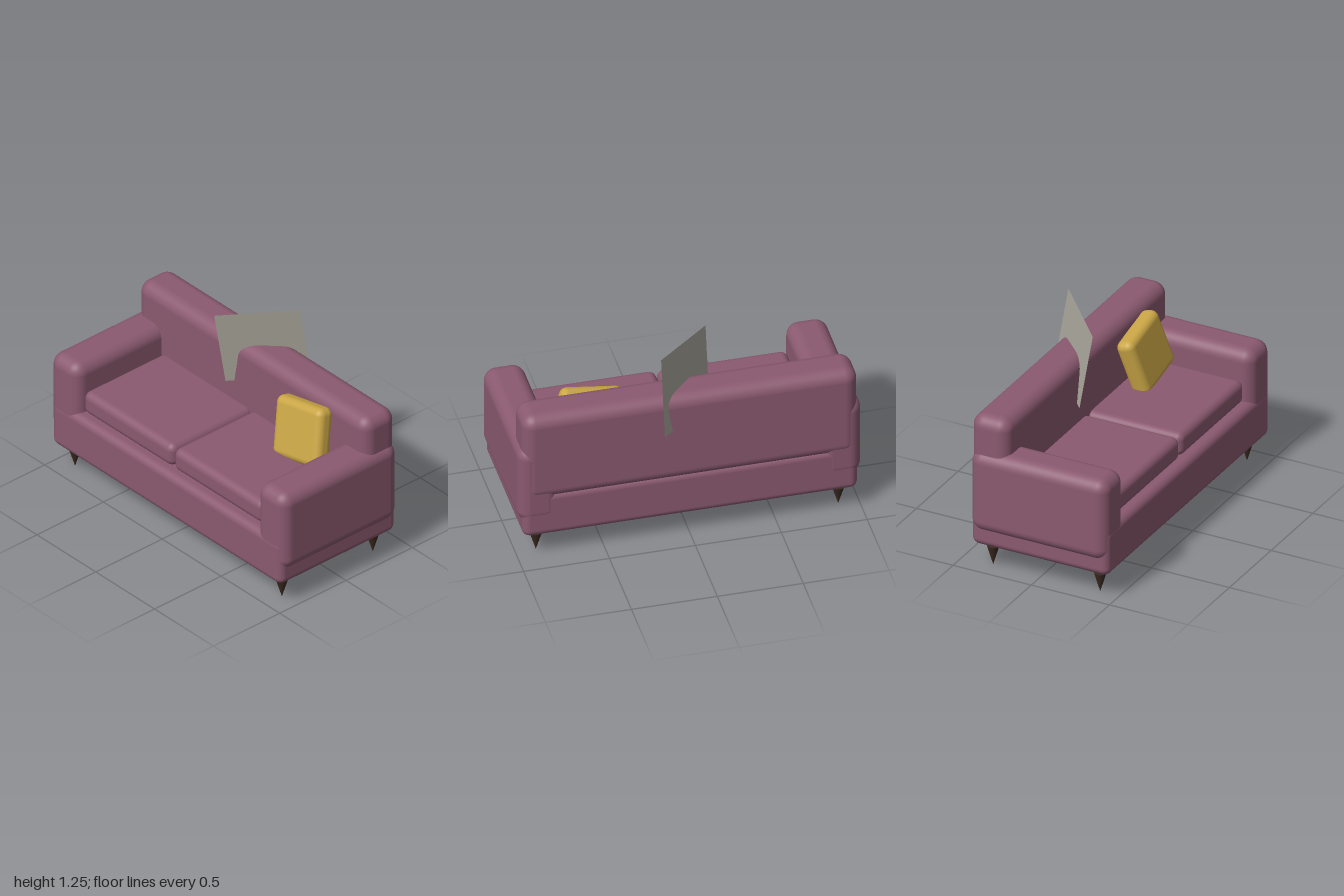
import * as THREE from 'three';
import { RoundedBoxGeometry } from 'three/addons/geometries/RoundedBoxGeometry.js';

function material(name, color, side = THREE.FrontSide) {
  const m = new THREE.MeshStandardMaterial({ color, side });
  m.name = name;
  return m;
}

export function createModel() {
  const sofa = new THREE.Group();
  sofa.name = 'sofa';
  const fabric = material('mauve fabric', 0x8b5a70);
  const mustard = material('mustard fabric', 0xc9a545);
  const wood = material('dark wood', 0x3b2a20);
  const cloth = material('grey cloth', 0xaaa69c, THREE.DoubleSide);

  function add(name, geometry, mat, x, y, z) {
    const mesh = new THREE.Mesh(geometry, mat);
    mesh.name = name;
    mesh.position.set(x, y, z);
    sofa.add(mesh);
    return mesh;
  }

  // Soft-edged block given by its [min, max] range on each axis
  function block(name, [x0, x1], [y0, y1], [z0, z1], radius) {
    const geometry = new RoundedBoxGeometry(x1 - x0, y1 - y0, z1 - z0, 5, radius);
    return add(name, geometry, fabric, (x0 + x1) / 2, (y0 + y1) / 2, (z0 + z1) / 2);
  }

  // Frame and backrest
  block('base', [-0.975, 0.975], [0.15, 0.44], [-0.403, 0.475], 0.045);
  block('backrest', [-0.975, 0.975], [0.4, 0.976], [-0.41, -0.167], 0.075);

  // Arms and seat cushions, one on each side
  for (const [side, s] of [['left', 1], ['right', -1]]) {
    const span = (a, b) => (s > 0 ? [a, b] : [-b, -a]);
    block(side + 'Arm', span(0.76, 1), [0.245, 0.757], [-0.405, 0.473], 0.075);
    block(side + 'SeatCushion', span(0.002, 0.765), [0.44, 0.586], [-0.2, 0.425], 0.045);
  }

  // Tapered feet, points down
  const foot = new THREE.ConeGeometry(0.036, 0.12, 16).rotateX(Math.PI);
  for (const x of [-0.88, 0.88]) {
    for (const z of [-0.307, 0.377]) add('foot', foot, wood, x, 0.06, z);
  }

  // Loose pillow leaning on the backrest
  const pillow = add('pillow', new RoundedBoxGeometry(0.38, 0.36, 0.115, 5, 0.045), mustard, 0.532, 0.74, -0.087);
  pillow.rotation.set(-0.26, 0, 0.18);

  // Flat square throw set across the backrest
  const sheet = add('throw', new THREE.PlaneGeometry(0.488, 0.488), cloth, -0.002, 0.976, -0.259);
  sheet.rotation.set(0.175, Math.PI / 4, 0);

  return sofa;
}
